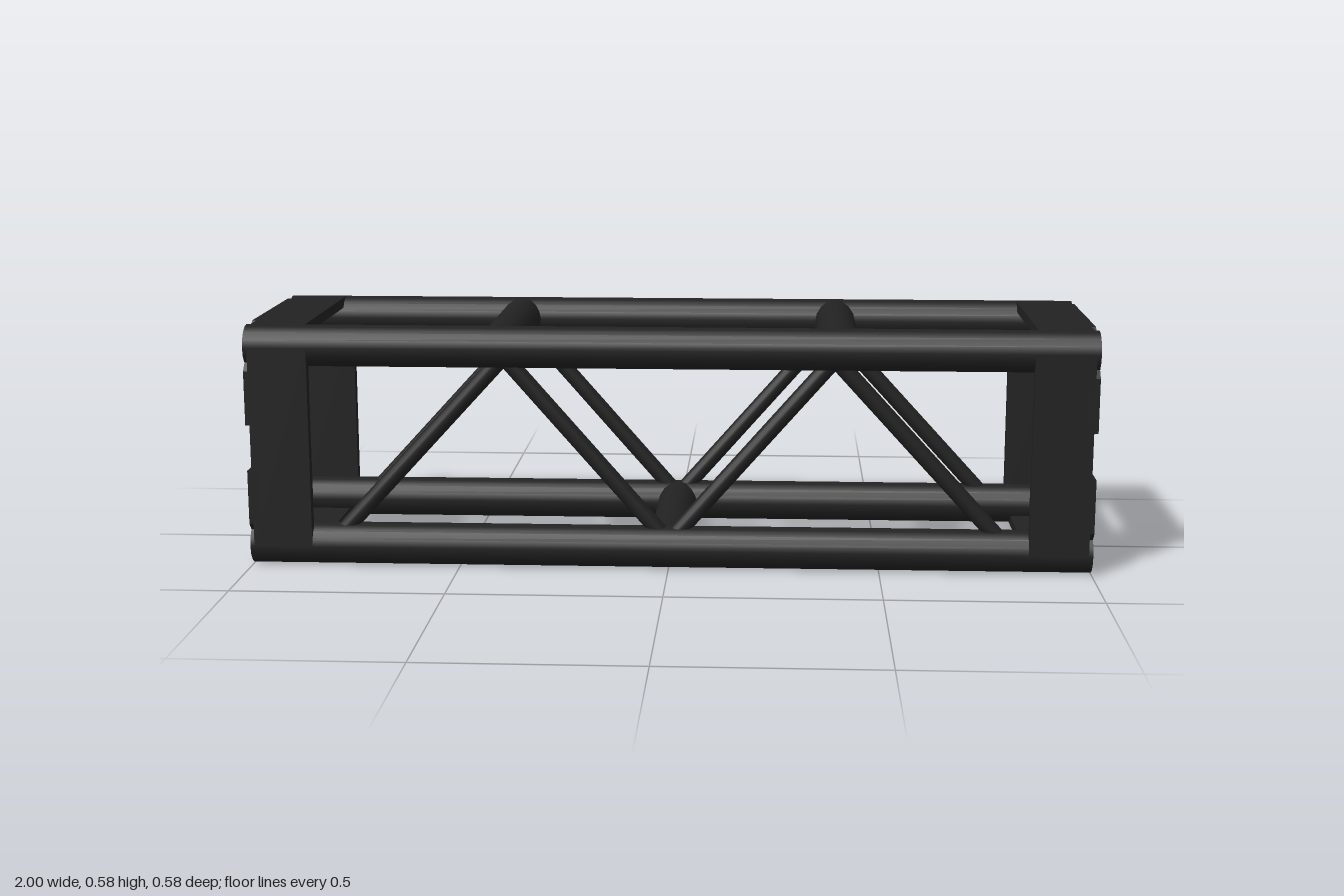
import * as THREE from 'three';
import { mergeGeometries } from 'three/addons/utils/BufferGeometryUtils.js';

const black = new THREE.MeshStandardMaterial({ color: 0x222222 });
black.name = 'matte black';

const H = 0.58;      // overall height and depth
const R = 0.05;      // chord radius
const INNER = 0.036; // chord bore
const OFF = 0.24;    // chord distance from the centre axis
const MID = H / 2;

export function createModel() {
  const group = new THREE.Group();
  const add = (name, geometry, x = 0, y = 0, z = 0) => {
    const mesh = new THREE.Mesh(geometry, black);
    mesh.name = name;
    mesh.position.set(x, y, z);
    group.add(mesh);
    return mesh;
  };

  // Hollow tube along x: outer wall, end rings and bore kept separate for crisp rims
  const corners = [[R, -1], [R, 1], [INNER, 1], [INNER, -1], [R, -1]].map(p => new THREE.Vector2(...p));
  const tube = mergeGeometries([0, 1, 2, 3].map(i => new THREE.LatheGeometry([corners[i], corners[i + 1]], 16)));
  tube.rotateZ(Math.PI / 2);

  // Solid bar between two points
  const bar = (name, a, b, radius) => {
    const dir = b.clone().sub(a);
    const mesh = add(name, new THREE.CylinderGeometry(radius, radius, dir.length(), 16));
    mesh.position.copy(a).add(b).multiplyScalar(0.5);
    mesh.quaternion.setFromUnitVectors(new THREE.Vector3(0, 1, 0), dir.normalize());
  };

  // Four main chords
  for (const sy of [-1, 1]) for (const sz of [-1, 1]) add('chord', tube, 0, MID + sy * OFF, sz * OFF);

  // Diagonal lacing on the front and back
  for (const sz of [-1, 1]) for (const sx of [-1, 1]) {
    for (const [low, high] of [[0.81, 0.37], [-0.01, 0.41]]) {
      bar('diagonalBrace', new THREE.Vector3(sx * low, 0.05, sz * OFF),
        new THREE.Vector3(sx * high, 0.53, sz * OFF), 0.02);
    }
  }

  // Cross members: two on top, one below
  for (const [x, y] of [[-0.4, MID + OFF], [0.4, MID + OFF], [0, MID - OFF]]) {
    bar('crossMember', new THREE.Vector3(x, y, -OFF), new THREE.Vector3(x, y, OFF), R);
  }

  // End plate with its two outer corners cut off; drawn in z and y
  const w = H / 2, cut = 0.105, inner = 0.055, thick = 0.025;
  const plateShape = new THREE.Shape([
    [-w, inner], [w, inner], [w, w - cut], [w - cut, w], [-w + cut, w], [-w, w - cut],
  ].map(p => new THREE.Vector2(...p)));
  const plate = new THREE.ExtrudeGeometry(plateShape, { depth: thick, bevelEnabled: false });
  plate.translate(0, 0, -thick / 2);
  plate.rotateY(Math.PI / 2);

  for (const sx of [-1, 1]) for (const s of [-1, 1]) {
    const end = add('endPlate', plate, sx * (1 - thick / 2), MID, 0);
    if (s < 0) end.rotation.x = Math.PI;
    // Collar plates between the chords
    add('sidePlate', new THREE.BoxGeometry(0.14, 2 * OFF, thick), sx * 0.92, MID, s * (w - thick / 2));
    add('collarPlate', new THREE.BoxGeometry(0.13, thick, 2 * OFF), sx * 0.925, MID + s * (w - thick / 2), 0);
  }

  return group;
}
